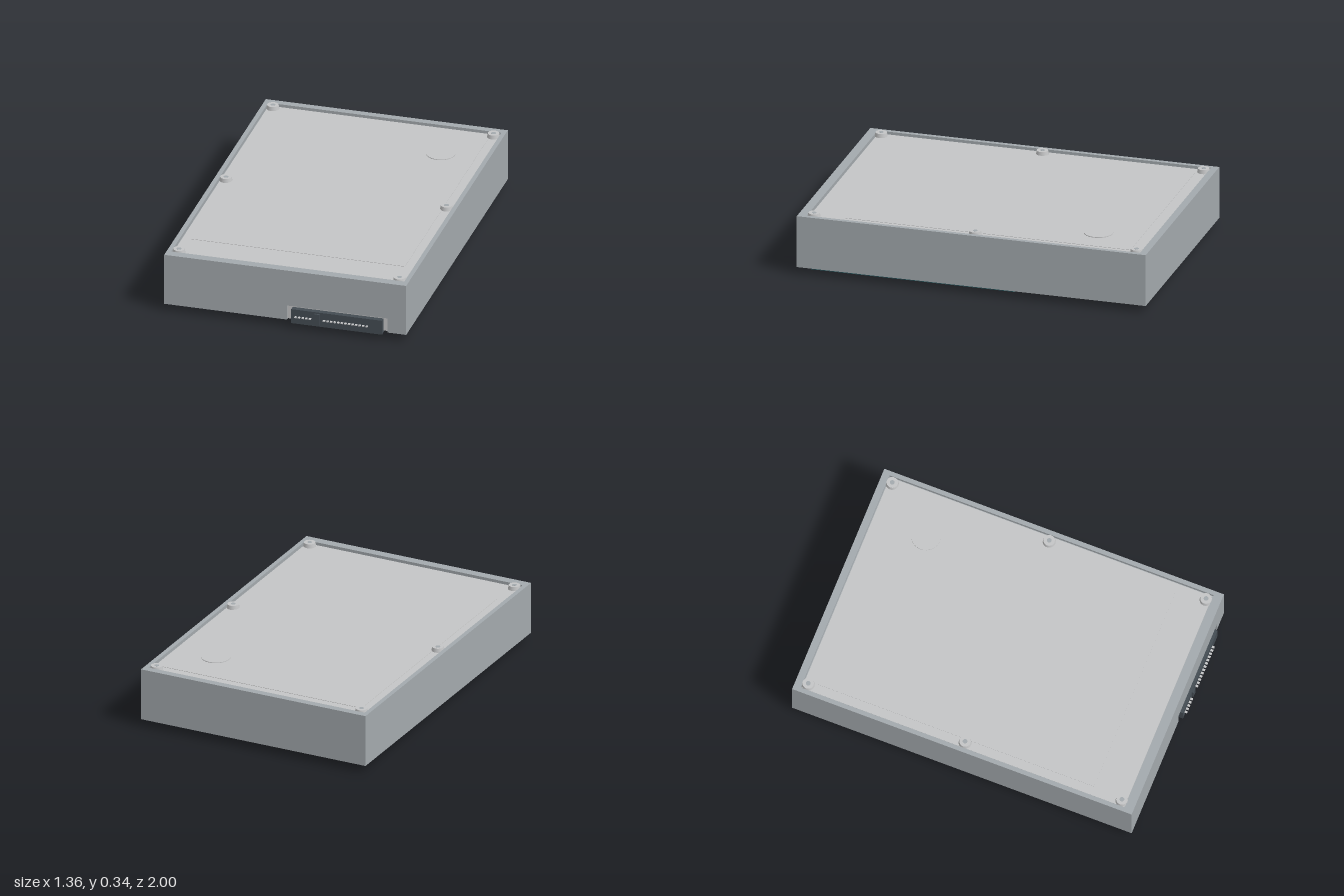
import * as THREE from 'three';

function material(name, color) {
  const m = new THREE.MeshStandardMaterial({ color });
  m.name = name;
  return m;
}

export function createModel() {
  const casing = material('cast grey', 0xa3a9ad);
  const silver = material('silver', 0xc4c5c6);
  const board = material('board teal', 0x2a5a60);
  const plastic = material('connector black', 0x444c53);
  const chipDark = material('chip charcoal', 0x4a4b4f);

  const model = new THREE.Group();
  model.name = 'diskDrive';

  function add(name, geometry, mat, x = 0, y = 0, z = 0) {
    const mesh = new THREE.Mesh(geometry, mat);
    mesh.name = name;
    mesh.position.set(x, y, z);
    model.add(mesh);
    return mesh;
  }
  // box given by its minimum and maximum corners
  function box(name, mat, x0, x1, y0, y1, z0, z1) {
    return add(name, new THREE.BoxGeometry(x1 - x0, y1 - y0, z1 - z0), mat,
      (x0 + x1) / 2, (y0 + y1) / 2, (z0 + z1) / 2);
  }
  function disc(name, mat, rTop, rBottom, x, y0, y1, z) {
    return add(name, new THREE.CylinderGeometry(rTop, rBottom, y1 - y0, 32), mat, x, (y0 + y1) / 2, z);
  }

  // casing: solid core, and a front wall with a notch for the connector
  box('casingCore', casing, -0.68, 0.68, 0.04, 0.315, -1, 0.9);
  const wall = new THREE.Shape([
    [-0.68, 0.04], [0.01, 0.04], [0.01, 0.125], [0.575, 0.125],
    [0.575, 0.04], [0.68, 0.04], [0.68, 0.315], [-0.68, 0.315],
  ].map(([x, y]) => new THREE.Vector2(x, y)));
  add('frontWall', new THREE.ExtrudeGeometry(wall, { depth: 0.07, bevelEnabled: false }), casing, 0, 0, 0.9);

  // raised rim around the lid
  const rect = (Type, x, z0, z1) => new Type([[-x, z0], [x, z0], [x, z1], [-x, z1]]
    .map(([a, b]) => new THREE.Vector2(a, b)));
  const rim = rect(THREE.Shape, 0.68, -0.97, 1);
  rim.holes.push(rect(THREE.Path, 0.655, -0.92, 0.96));
  add('casingRim', new THREE.ExtrudeGeometry(rim, { depth: 0.02, bevelEnabled: false }),
    casing, 0, 0.315, 0).rotation.x = -Math.PI / 2;

  // lid, its slightly raised panel and the round spindle cap
  box('lid', silver, -0.65, 0.65, 0.31, 0.321, -0.955, 0.915);
  box('lidPanel', silver, -0.6, 0.6, 0.318, 0.323, -0.89, 0.72);
  disc('spindleCap', silver, 0.08, 0.08, 0.405, 0.32, 0.327, -0.65);

  // lid screws
  for (const x of [-0.62, 0.62]) {
    for (const z of [-0.93, -0.02, 0.89]) {
      disc('lidScrew', silver, 0.031, 0.036, x, 0.316, 0.343, z);
      disc('lidScrewSocket', casing, 0.013, 0.013, x, 0.34, 0.3435, z);
    }
  }

  // connector bracket, shell, key and pins
  box('connectorBracket', silver, 0.01, 0.575, 0.042, 0.125, 0.9, 0.955);
  box('connectorShell', plastic, 0.038, 0.548, 0.03, 0.114, 0.93, 0.985);
  box('connectorKey', plastic, 0.17, 0.2, 0.04, 0.105, 0.98, 0.994);
  for (let i = 0; i < 21; i++) {
    const x = 0.065 + i * 0.02;
    if (x > 0.16 && x < 0.21) continue;
    box('connectorPin', silver, x - 0.006, x + 0.006, 0.07, 0.075, 0.98, 1);
  }

  // circuit board under the casing
  box('circuitBoard', board, -0.645, 0.645, 0.022, 0.04, -0.25, 0.9);
  for (const x of [-0.56, 0.56]) {
    for (const z of [-0.17, 0.825]) {
      disc('boardScrew', silver, 0.028, 0.025, x, 0.011, 0.024, z);
      disc('boardScrewSocket', chipDark, 0.01, 0.01, x, 0.0105, 0.012, z);
    }
    disc('mountingBoss', casing, 0.023, 0.023, Math.sign(x) * 0.51, 0.033, 0.042, -0.657);
  }

  // chips: centre x, centre z, width, depth, lowest y
  const chips = [
    [-0.135, 0.38, 0.2, 0.24, 0.006], [0.18, 0.3, 0.12, 0.15, 0.01],
    [-0.31, 0.15, 0.13, 0.14, 0.01], [-0.4, 0.34, 0.08, 0.11, 0.005],
    [-0.51, 0.34, 0.08, 0.11, 0.005], [0.295, 0.475, 0.07, 0.07, 0.013],
  ];
  for (const [x, z, w, d, y] of chips) {
    box('chip', chipDark, x - w / 2, x + w / 2, y, 0.024, z - d / 2, z + d / 2);
  }
  box('processorPlate', silver, -0.225, -0.045, 0, 0.008, 0.28, 0.48);
  box('crystal', silver, 0.02, 0.08, 0.012, 0.024, 0.54, 0.585);

  // rows of tiny components: z, start x, end x, count
  for (const [z, x0, x1, n] of [[0.195, 0.42, -0.11, 6], [0.39, 0.43, 0.05, 4], [0.61, 0.42, -0.24, 7]]) {
    for (let i = 0; i < n; i++) {
      const x = x0 + (x1 - x0) * i / (n - 1);
      box('resistor', casing, x - 0.008, x + 0.008, 0.017, 0.024, z - 0.005, z + 0.005);
    }
  }
  return model;
}
